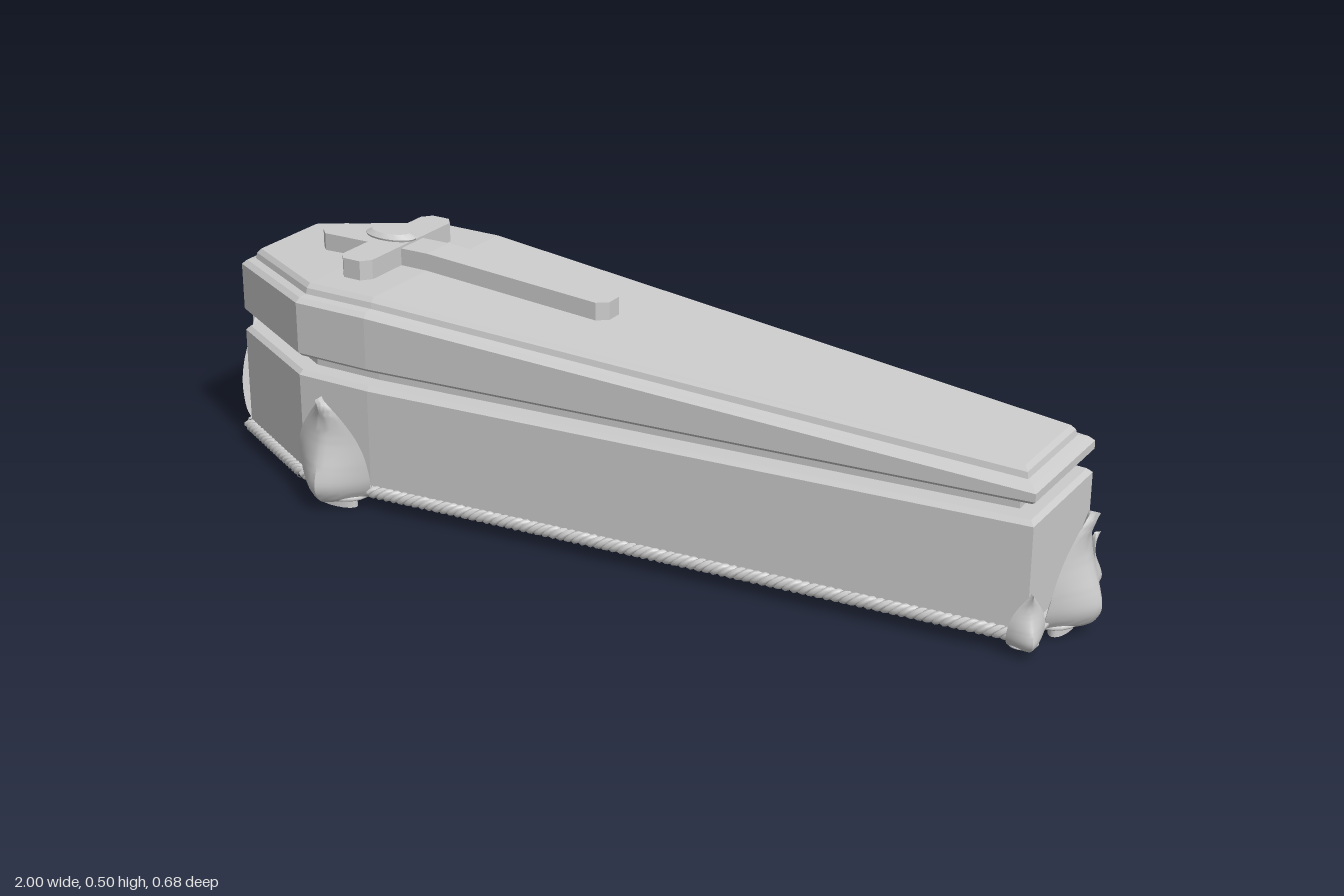
import * as THREE from 'three';
import { toCreasedNormals } from 'three/addons/utils/BufferGeometryUtils.js';

const stone = new THREE.MeshStandardMaterial({ color: 0xcccccc });
stone.name = 'pale grey';

// Eight-sided coffin plan: [x, z], running from the head along the left side and back
const half = [[-0.9, 0.115], [-0.645, 0.255], [-0.475, 0.255], [0.91, 0.138]];
const outline = [...half, ...half.slice().reverse().map(([x, z]) => [x, -z])];

// Drop of the lid towards the foot end
const drop = (x) => 0.066 * Math.max(0, x + 0.475) + 0.03 * Math.max(0, -0.64 - x);

function inset(d) {
  const n = outline.length;
  const normal = (i) => {
    const a = outline[(i + n) % n], b = outline[(i + 1) % n];
    const l = Math.hypot(b[0] - a[0], b[1] - a[1]);
    return [-(b[1] - a[1]) / l, (b[0] - a[0]) / l];
  };
  return outline.map(([x, z], i) => {
    const p = normal(i - 1), q = normal(i);
    const k = d / (1 + p[0] * q[0] + p[1] * q[1]);
    return [x - k * (p[0] + q[0]), z - k * (p[1] + q[1])];
  });
}

function mesh(name, geometry) {
  const m = new THREE.Mesh(geometry, stone);
  m.name = name;
  return m;
}

// Stack of inset outlines, rows are [inset, height, slope factor]
function stack(name, rows) {
  const rings = rows.map(([d, y, s = 0]) =>
    inset(d).map(([x, z]) => [x, y - s * drop(x), z]));
  const pos = [];
  const quad = (a, b, c, d) => pos.push(...a, ...b, ...c, ...a, ...c, ...d);
  for (let r = 0; r + 1 < rings.length; r++)
    for (let i = 0; i < 8; i++) {
      const j = (i + 1) % 8;
      quad(rings[r][i], rings[r][j], rings[r + 1][j], rings[r + 1][i]);
    }
  const lo = rings[0], hi = rings[rings.length - 1];
  for (let i = 0; i < 3; i++) {
    quad(hi[i], hi[i + 1], hi[6 - i], hi[7 - i]);
    quad(lo[7 - i], lo[6 - i], lo[i + 1], lo[i]);
  }
  const g = new THREE.BufferGeometry();
  g.setAttribute('position', new THREE.Float32BufferAttribute(pos, 3));
  g.computeVertexNormals();
  return mesh(name, g);
}

// Pointed leaf with a ridge: [height, half width, ridge, back]
const leafRows = [
  [0.012, 0, 0.015, 0.015], [0.014, 0.04, 0.045, -0.02], [0.025, 0.072, 0.07, -0.02],
  [0.055, 0.086, 0.086, -0.012], [0.09, 0.087, 0.08, 0], [0.125, 0.082, 0.067, 0.012],
  [0.16, 0.068, 0.056, 0.023], [0.195, 0.044, 0.054, 0.033], [0.225, 0.019, 0.062, 0.041],
  [0.247, 0, 0.07, 0.047],
];
function leafGeometry() {
  const curves = [1, 2, 3].map((k) =>
    new THREE.SplineCurve(leafRows.map((r) => new THREE.Vector2(r[0], r[k]))));
  const pos = [], index = [], rows = 36, cols = 14;
  for (let r = 0; r <= rows; r++) {
    const [w, ridge, back] = curves.map((c) => c.getPoint(r / rows).y);
    const y = curves[0].getPoint(r / rows).x;
    const edge = back + 0.25 * (ridge - back);
    for (let c = 0; c < cols - 1; c++) {
      const u = (c / (cols - 2)) * 2 - 1;
      pos.push(Math.max(w, 0) * u, y, edge + (ridge - edge) * (1 - Math.abs(u) ** 1.4));
    }
    pos.push(0, y, back);
  }
  for (let r = 0; r < rows; r++)
    for (let c = 0; c < cols; c++) {
      const a = r * cols + c, b = r * cols + ((c + 1) % cols);
      index.push(a, b, b + cols, a, b + cols, a + cols);
    }
  const g = new THREE.BufferGeometry();
  g.setAttribute('position', new THREE.Float32BufferAttribute(pos, 3));
  g.setIndex(index);
  return toCreasedNormals(g, 0.6);
}

// Leaf foot with its lobe and, when large, a pad on the ground
function leafFoot(name, leaf, x, z, angle, size, pad) {
  const g = new THREE.Group();
  g.name = name;
  g.add(mesh('leaf', leaf));
  const lobe = mesh('baseLobe', new THREE.SphereGeometry(1, 20, 10));
  lobe.scale.set(0.07, 0.013, 0.05);
  lobe.position.set(0, 0.026, 0.005);
  g.add(lobe);
  if (pad) {
    const p = mesh('groundPad', new THREE.CylinderGeometry(0.048, 0.048, 0.02, 24));
    p.scale.z = 0.42;
    p.position.set(0, 0.01, 0.012);
    g.add(p);
  }
  g.position.set(x, pad ? 0 : 0.008, z);
  g.rotation.y = angle;
  g.scale.set(size[0], size[1], size[2]);
  return g;
}

// Three-strand rope along the bottom edge
function rope() {
  const g = new THREE.Group();
  g.name = 'baseRope';
  const path = inset(-0.004);
  path.forEach(([x0, z0], i) => {
    const [x1, z1] = path[(i + 1) % 8];
    const len = Math.hypot(x1 - x0, z1 - z0), nx = -(z1 - z0) / len, nz = (x1 - x0) / len;
    const turns = i === 3 ? 0 : Math.round(len / 0.05);
    const steps = Math.max(2, turns * 10);
    for (let s = 0; s < 3; s++) {
      const pts = [];
      for (let k = 0; k <= steps; k++) {
        const t = k / steps, a = (s * 2 * Math.PI) / 3 + t * turns * 2 * Math.PI;
        const o = 0.007 * Math.cos(a);
        pts.push(new THREE.Vector3(x0 + (x1 - x0) * t + nx * o,
          0.039 + 0.007 * Math.sin(a), z0 + (z1 - z0) * t + nz * o));
      }
      g.add(mesh('ropeStrand', new THREE.TubeGeometry(new THREE.CatmullRomCurve3(pts), steps, 0.007, 6)));
    }
  });
  return g;
}

// Flat plate cut from a plan outline, following the slope of the lid
function plate(name, pts, y0, y1) {
  const shape = new THREE.Shape(pts.map(([x, z]) => new THREE.Vector2(x, z)));
  const geo = new THREE.ExtrudeGeometry(shape, { depth: y1 - y0, bevelEnabled: false });
  geo.rotateX(-Math.PI / 2).translate(0, y0, 0);
  const p = geo.attributes.position;
  for (let i = 0; i < p.count; i++) p.setY(i, p.getY(i) - drop(p.getX(i)));
  geo.computeVertexNormals();
  return mesh(name, geo);
}

function cross() {
  const g = new THREE.Group();
  g.name = 'cross';
  const w = 0.038, c = 0.02;
  g.add(plate('crossHeadArm', [[-0.755, -w + c], [-0.735, -w], [-0.475, -w], [-0.475, w],
    [-0.735, w], [-0.755, w - c]], 0.435, 0.483));
  g.add(plate('crossLongArm', [[-0.475, -w], [-0.07, -w], [-0.05, -w + c], [-0.05, w - c],
    [-0.07, w], [-0.475, w]], 0.435, 0.483));
  g.add(plate('crossBar', [[-0.615, -0.135], [-0.598, -0.155], [-0.557, -0.155], [-0.54, -0.135],
    [-0.54, 0.135], [-0.557, 0.155], [-0.598, 0.155], [-0.615, 0.135]], 0.435, 0.487));
  const profile = [[0, 0.48], [0.025, 0.48], [0.025, 0.488], [0.058, 0.489], [0.06, 0.493],
    [0.045, 0.502], [0, 0.503]].map(([x, y]) => new THREE.Vector2(x, y));
  const boss = mesh('crossBoss', toCreasedNormals(new THREE.LatheGeometry(profile, 28), 0.5));
  boss.scale.z = 0.56;
  boss.position.x = -0.592;
  g.add(boss);
  return g;
}

export function createModel() {
  const model = new THREE.Group();
  model.name = 'coffin';
  model.add(stack('body', [[0, 0.028], [0, 0.257], [0.009, 0.266]]));
  model.add(stack('groove', [[0.045, 0.26], [0.045, 0.305]]));
  model.add(stack('lid', [[0.009, 0.297], [0, 0.305], [0, 0.413, 1], [0.01, 0.422, 1],
    [0.026, 0.425, 1], [0.029, 0.437, 1], [0.037, 0.446, 1]]));
  model.add(cross(), rope());

  const leaf = leafGeometry();
  const q = Math.PI / 2;
  model.add(leafFoot('leftFoot', leaf, -0.552, 0.255, 0, [1, 1, 1], true));
  model.add(leafFoot('rightFoot', leaf, -0.552, -0.255, 2 * q, [1, 1, 1], true));
  model.add(leafFoot('footEndFoot', leaf, 0.912, 0, q, [1, 1, 1], true));
  model.add(leafFoot('headEndFoot', leaf, -0.91, 0, -q, [1.15, 1.03, 1.04], true));
  for (const s of [1, -1])
    model.add(leafFoot(s > 0 ? 'leftCornerLeaf' : 'rightCornerLeaf', leaf,
      0.9, s * 0.13, s > 0 ? q / 2 : 1.5 * q, [0.42, 0.5, 0.56], false));
  return model;
}
